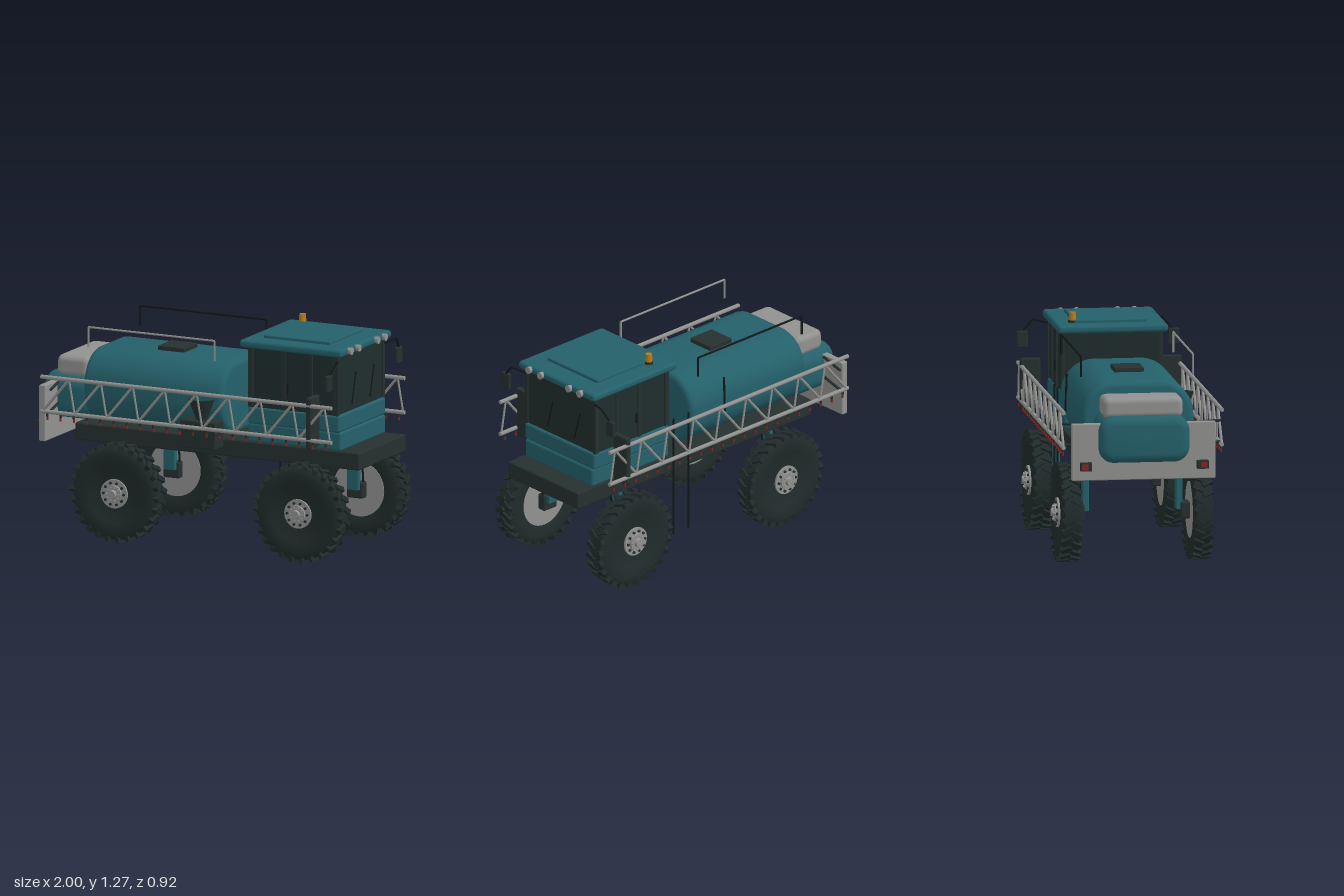
import * as THREE from 'three';
import { toCreasedNormals } from 'three/addons/utils/BufferGeometryUtils.js';
import { RoundedBoxGeometry } from 'three/addons/geometries/RoundedBoxGeometry.js';

const mat = (name, color) => Object.assign(new THREE.MeshStandardMaterial({ color }), { name });
const teal = mat('teal paint', 0x24606a);
const grey = mat('light grey', 0x919190);
const dark = mat('dark frame', 0x25302f);
const rubber = mat('tyre rubber', 0x212b2b);
const glass = mat('tinted glass', 0x202c2c);
const black = mat('black trim', 0x121717);
const amber = mat('amber', 0xb87a18);
const red = mat('red', 0x8a2420);

const V = (x, y, z) => new THREE.Vector3(x, y, z);

function add(parent, name, geo, material, x = 0, y = 0, z = 0) {
  const m = new THREE.Mesh(geo, material);
  m.name = name;
  m.position.set(x, y, z);
  parent.add(m);
  return m;
}

// Box given by its limits on each axis, optionally rounded
function box(parent, name, material, [x0, x1], [y0, y1], [z0, z1], r = 0) {
  const s = [x1 - x0, y1 - y0, z1 - z0];
  const geo = r ? new RoundedBoxGeometry(...s, 2, r) : new THREE.BoxGeometry(...s);
  return add(parent, name, geo, material, (x0 + x1) / 2, (y0 + y1) / 2, (z0 + z1) / 2);
}

// Round bar between two points
function rod(parent, name, material, a, b, r) {
  const d = b.clone().sub(a);
  const m = add(parent, name, new THREE.CylinderGeometry(r, r, d.length(), 8), material);
  m.position.copy(a).add(b).multiplyScalar(0.5);
  m.quaternion.setFromUnitVectors(V(0, 1, 0), d.normalize());
  return m;
}

// Rounded section in z/y, extruded along x with softened ends
function barrel(parent, name, material, [x0, x1], [y0, y1], w, r, bevel) {
  const s = new THREE.Shape();
  s.moveTo(-w + r, y0);
  s.lineTo(w - r, y0).absarc(w - r, y0 + r, r, -Math.PI / 2, 0);
  s.absarc(w - r, y1 - r, r, 0, Math.PI / 2);
  s.absarc(-w + r, y1 - r, r, Math.PI / 2, Math.PI);
  s.absarc(-w + r, y0 + r, r, Math.PI, Math.PI * 1.5);
  const geo = new THREE.ExtrudeGeometry(s, {
    depth: x1 - x0 - 2 * bevel, bevelThickness: bevel, bevelSize: bevel,
    bevelOffset: -bevel, bevelSegments: 3, curveSegments: 10,
  });
  geo.translate(0, 0, x0 + bevel).rotateY(Math.PI / 2);
  return add(parent, name, toCreasedNormals(geo, 0.6), material);
}

// Cylinder lying along z
const disc = (r, len, n = 32, r2 = r) => new THREE.CylinderGeometry(r, r2, len, n).rotateX(Math.PI / 2);

// Wheel with its outer side on +z
function wheel() {
  const g = new THREE.Group();
  g.name = 'wheel';
  const half = [[0, 0.043], [0.155, 0.043], [0.17, 0.05], [0.225, 0.055], [0.25, 0.05], [0.264, 0.04]];
  const profile = [...half.map(([r, y]) => [r, -y]), ...half.slice().reverse()];
  const tyre = new THREE.LatheGeometry(profile.map(p => new THREE.Vector2(...p)), 48).rotateX(Math.PI / 2);
  add(g, 'tyre', toCreasedNormals(tyre.toNonIndexed(), 0.5), rubber);
  // Slanted tread lugs in two staggered rows
  const n = 26;
  for (let i = 0; i < n * 2; i++) {
    const side = i % 2 ? 1 : -1;
    const lug = new THREE.BoxGeometry(0.028, 0.03, 0.062);
    lug.rotateY(side * 0.5).translate(0, 0.264, side * 0.026).rotateZ((i * Math.PI) / n);
    add(g, 'treadLug', lug, rubber);
  }
  // Inner rim and outer hub
  add(g, 'innerRim', disc(0.158, 0.008, 40), grey, 0, 0, -0.044);
  add(g, 'hubPlate', disc(0.083, 0.016), grey, 0, 0, 0.046);
  add(g, 'hubRing', disc(0.05, 0.016, 24), grey, 0, 0, 0.06);
  add(g, 'hubCap', disc(0.022, 0.026, 16, 0.028), grey, 0, 0, 0.072);
  for (let i = 0; i < 10; i++) {
    const a = (i * Math.PI) / 5;
    add(g, 'wheelNut', disc(0.008, 0.012, 6), dark, Math.cos(a) * 0.063, Math.sin(a) * 0.063, 0.057);
    add(g, 'hubBolt', disc(0.006, 0.01, 6), grey, Math.cos(a) * 0.038, Math.sin(a) * 0.038, 0.072);
  }
  return g;
}

// Spray boom lattice on one side
function boom(parent, s) {
  const g = new THREE.Group();
  g.name = 'sprayBoom';
  parent.add(g);
  const z = s * 0.445, lo = 0.712, hi = 0.908;
  for (const y of [lo, hi]) rod(g, 'boomRail', grey, V(-0.91, y, z), V(0.91, y, z), 0.012);
  for (let i = 0; i < 9; i++) {
    const x = -0.9 + i * 0.2;
    rod(g, 'boomDiagonal', grey, V(x, lo, z), V(x + 0.165, hi, z), 0.008);
    rod(g, 'boomBrace', grey, V(x + 0.165, hi, z), V(x + 0.2, lo, z), 0.006);
  }
  for (let i = 0; i < 22; i++) {
    const x = -0.87 + i * 0.083;
    rod(g, 'nozzle', dark, V(x, 0.685, z), V(x, 0.705, z), 0.007);
    rod(g, 'nozzleTip', red, V(x, 0.665, z), V(x, 0.685, z), 0.006);
  }
  for (const y of [0.72, 0.84]) rod(g, 'boomHinge', dark, V(-0.9, y, s * 0.26), V(-0.85, y, z), 0.008);
  box(g, 'boomRest', dark, [0.75, 0.785], [0.665, 0.955], [s * 0.3975 - 0.0575, s * 0.3975 + 0.0575], 0.01);
}

export function createModel() {
  const g = new THREE.Group();
  g.name = 'sprayer';

  // Chassis, tank and rear bodywork
  box(g, 'chassis', dark, [-0.78, 1], [0.53, 0.63], [-0.285, 0.285], 0.01);
  barrel(g, 'tank', teal, [-0.715, 0.16], [0.63, 1.045], 0.315, 0.185, 0.03);
  box(g, 'tankLid', dark, [-0.365, -0.2], [1.04, 1.07], [-0.083, 0.083], 0.006);
  barrel(g, 'rearHood', teal, [-1, -0.68], [0.63, 0.89], 0.255, 0.085, 0.045);
  box(g, 'rinseTank', grey, [-0.93, -0.73], [0.87, 0.99], [-0.225, 0.225], 0.035);
  box(g, 'rearPanel', grey, [-0.945, -0.905], [0.53, 0.85], [-0.405, 0.405], 0.006);
  rod(g, 'levelGauge', black, V(-0.09, 0.78, -0.32), V(-0.09, 1, -0.312), 0.006);

  // Filling hopper on the left
  box(g, 'hopperBox', dark, [-0.07, 0.155], [0.58, 0.74], [0.29, 0.395], 0.01);
  const cone = new THREE.CylinderGeometry(0.075, 0.03, 0.12, 24, 1, true);
  const open = add(g, 'hopperFunnel', cone, dark.clone(), 0.045, 0.8, 0.345);
  open.material.side = THREE.DoubleSide;

  // Cab
  box(g, 'cabBase', teal, [0.295, 0.88], [0.625, 0.735], [-0.275, 0.275], 0.015);
  box(g, 'cabSill', teal, [0.3, 0.875], [0.73, 0.83], [-0.285, 0.285], 0.015);
  box(g, 'cabGlass', glass, [0.31, 0.86], [0.825, 1.17], [-0.277, 0.277]);
  for (const s of [1, -1]) {
    for (const [x, w] of [[0.318, 0.03], [0.525, 0.022], [0.7, 0.012], [0.852, 0.03]])
      box(g, 'cabPillar', dark, [x - w / 2, x + w / 2], [0.828, 1.168], [s * 0.276 - 0.01, s * 0.276 + 0.01]);
    rod(g, 'doorHandle', black, V(0.55, 0.92, s * 0.284), V(0.55, 0.98, s * 0.284), 0.006);
  }
  for (const z of [0.06, -0.16])
    rod(g, 'wiper', black, V(0.864, 1.04, z), V(0.864, 0.865, z + 0.048), 0.004);
  box(g, 'roof', teal, [0.26, 0.9], [1.165, 1.21], [-0.31, 0.31], 0.018);
  box(g, 'roofPanel', teal, [0.36, 0.775], [1.2, 1.228], [-0.205, 0.205], 0.008);
  for (const z of [0.21, 0.115, -0.115, -0.205]) {
    const lamp = new THREE.CylinderGeometry(0.021, 0.017, 0.03, 16).rotateZ(-Math.PI / 2);
    add(g, 'workLamp', lamp, grey, 0.903, 1.19, z);
  }
  add(g, 'beaconBase', new THREE.CylinderGeometry(0.024, 0.024, 0.02, 16), dark, 0.39, 1.215, -0.212);
  add(g, 'beacon', new THREE.CylinderGeometry(0.018, 0.022, 0.045, 16), amber, 0.39, 1.247, -0.212);

  // Parts mirrored on both sides
  for (const s of [1, -1]) {
    boom(g, s);

    const arm = [V(0.865, 1.135, s * 0.28), V(0.9, 1.153, s * 0.363), V(0.885, 1.09, s * 0.42)];
    rod(g, 'mirrorArm', black, arm[0], arm[1], 0.006);
    rod(g, 'mirrorArm', black, arm[1], arm[2], 0.006);
    box(g, 'mirror', dark, [0.868, 0.892], [0.995, 1.09], [s * 0.426 - 0.032, s * 0.426 + 0.032], 0.008);

    const railMat = s > 0 ? grey : black;
    rod(g, 'tankRail', railMat, V(-0.68, 1.188, s * 0.315), V(0.11, 1.188, s * 0.315), 0.006);
    for (const x of [-0.68, 0.11])
      rod(g, 'tankRailPost', railMat, V(x, 1.075, s * 0.315), V(x, 1.188, s * 0.315), 0.006);

    box(g, 'tailLampHousing', dark, [-0.985, -0.94], [0.59, 0.635], [s * 0.328 - 0.032, s * 0.328 + 0.032]);
    box(g, 'tailLamp', red, [-0.99, -0.984], [0.597, 0.628], [s * 0.335 - 0.018, s * 0.335 + 0.018]);

    // Wheels and their legs
    for (const x of [-0.465, 0.685]) {
      const w = wheel();
      w.position.set(x, 0.28, s * 0.37);
      if (s < 0) w.rotation.y = Math.PI;
      g.add(w);
      box(g, 'leg', teal, [x - 0.035, x + 0.035], [0.285, 0.54], [s * 0.263 - 0.018, s * 0.263 + 0.018], 0.005);
      box(g, 'wheelMotor', dark, [x - 0.05, x + 0.05], [0.235, 0.33], [s * 0.297 - 0.027, s * 0.297 + 0.027], 0.01);
      rod(g, 'hydraulicHose', black, V(x + 0.045, 0.33, s * 0.29), V(x + 0.045, 0.54, s * 0.265), 0.006);
    }
  }

  // Access ladder stiles on the right
  for (const x of [0.192, 0.307])
    rod(g, 'ladderStile', black, V(x, 0.17, -0.325), V(x, 0.88, -0.325), 0.006);
  return g;
}
